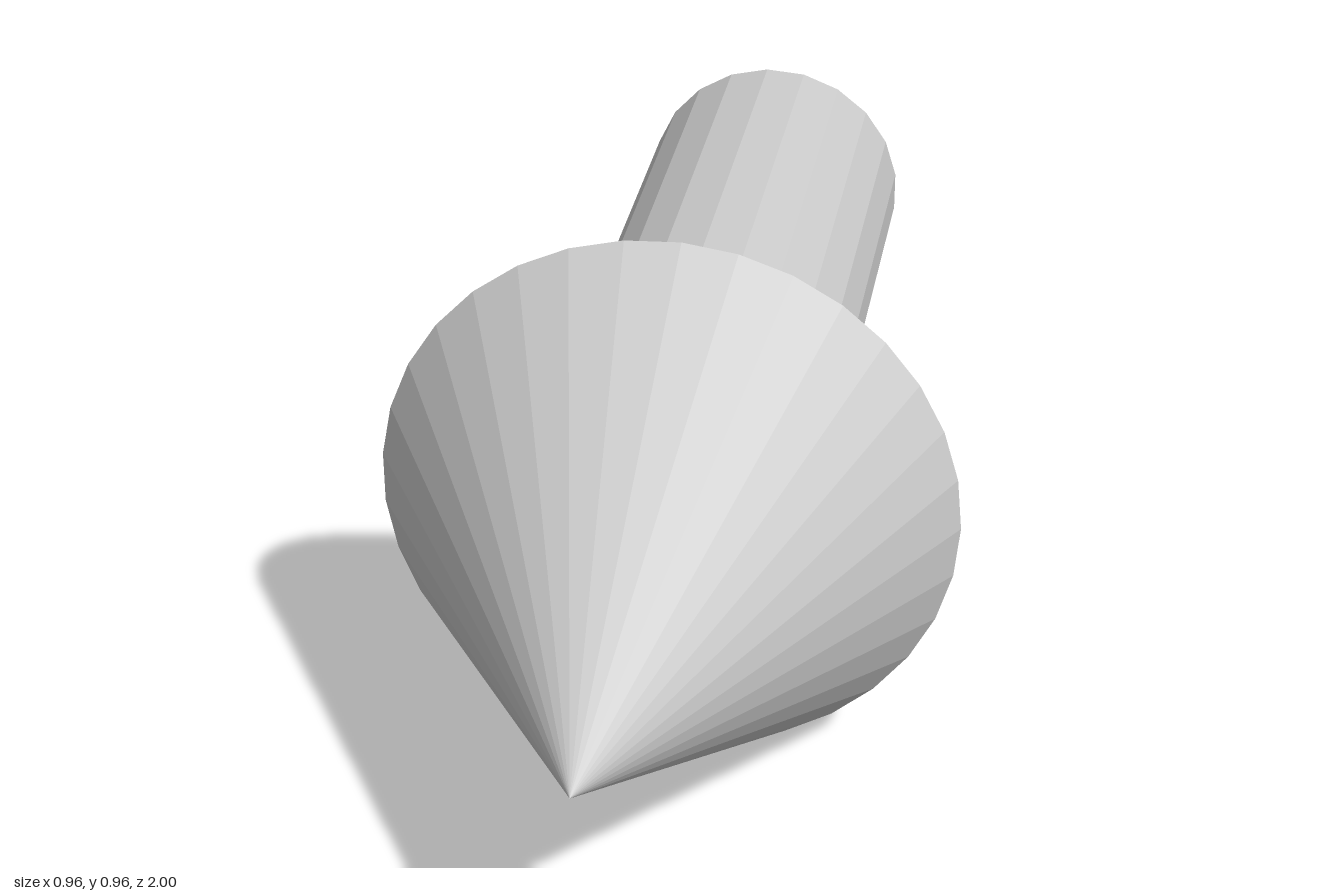
import * as THREE from 'three';

const AXIS_Y = 0.48; // height of the arrow's axis
const material = new THREE.MeshStandardMaterial({ color: 0xcccccc, flatShading: true });

// Closed round part along z, from zBack to zFront
function roundPart(name, rFront, rBack, zBack, zFront, sides, startAngle) {
  const geometry = new THREE.CylinderGeometry(rFront, rBack, zFront - zBack, sides, 1, false, startAngle);
  geometry.rotateX(Math.PI / 2);
  const mesh = new THREE.Mesh(geometry, material);
  mesh.name = name;
  mesh.position.set(0, AXIS_Y, (zBack + zFront) / 2);
  return mesh;
}

export function createModel() {
  const arrow = new THREE.Group();
  arrow.name = 'arrow';

  // Pointed head, tip facing the front
  arrow.add(roundPart('arrowHead', 0, 0.479, 0.2, 1, 33, Math.PI / 2));

  // Straight shaft running to the back
  arrow.add(roundPart('shaft', 0.239, 0.239, -1, 0.2, 21, -Math.PI / 2));

  return arrow;
}
